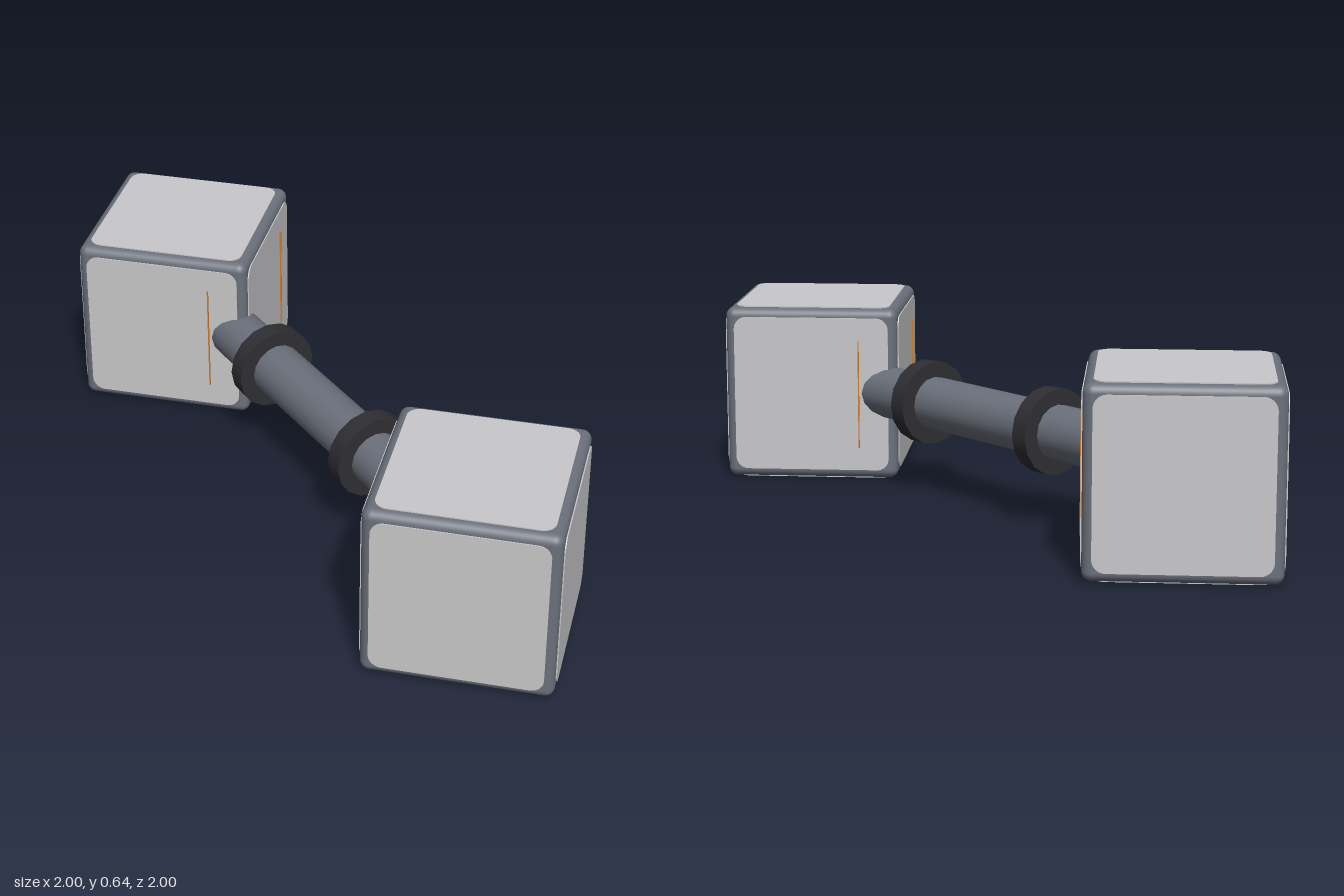
import * as THREE from 'three';
import { RoundedBoxGeometry } from 'three/addons/geometries/RoundedBoxGeometry.js';

const HALF = 0.32;   // cube half size, panels included
const OFFSET = 0.68; // cube centre from the middle, on x and z

function material(name, color) {
  const m = new THREE.MeshStandardMaterial({ color });
  m.name = name;
  return m;
}

function add(parent, name, geometry, mat, x = 0, y = 0, z = 0) {
  const mesh = new THREE.Mesh(geometry, mat);
  mesh.name = name;
  mesh.position.set(x, y, z);
  parent.add(mesh);
  return mesh;
}

// Rounded square plate, centred on x and y, lying from z = 0 to z = depth
function panelGeometry(size, radius, depth) {
  const h = size / 2, c = h - radius;
  const s = new THREE.Shape();
  s.absarc(c, c, radius, 0, Math.PI / 2);
  s.absarc(-c, c, radius, Math.PI / 2, Math.PI);
  s.absarc(-c, -c, radius, Math.PI, Math.PI * 1.5);
  s.absarc(c, -c, radius, Math.PI * 1.5, Math.PI * 2);
  return new THREE.ExtrudeGeometry(s, { depth, bevelEnabled: false, curveSegments: 5 });
}

export function createModel() {
  const model = new THREE.Group();
  model.name = 'linkedCubes';

  const frameMat = material('slate grey', 0x6b707b);
  const panelMat = material('light grey', 0xc9c9cb);
  const ringMat = material('charcoal', 0x2f2f33);
  const stripMat = material('orange', 0xd27a22);

  const frameGeo = new RoundedBoxGeometry(0.632, 0.632, 0.632, 4, 0.032);
  const panelGeo = panelGeometry(0.568, 0.045, 0.008);
  const stripGeo = new THREE.BoxGeometry(0.004, 0.4, 0.012);

  // The cube behind, then the same cube turned half round for the front
  for (const [name, turn] of [['backCube', 0], ['frontCube', Math.PI]]) {
    const half = new THREE.Group();
    half.name = name;
    half.rotation.y = turn;
    model.add(half);

    const cube = new THREE.Group();
    cube.name = 'cube';
    cube.position.set(-OFFSET, HALF, -OFFSET);
    half.add(cube);
    add(cube, 'frame', frameGeo, frameMat);

    // Six face panels
    const faces = [[0, 0], [0, 0.5], [0, 1], [0, 1.5], [0.5, 0], [-0.5, 0]];
    for (const [rx, ry] of faces) {
      const panel = add(cube, 'panel', panelGeo, panelMat);
      panel.rotation.set(rx * Math.PI, ry * Math.PI, 0);
      panel.translateZ(HALF - 0.008);
    }

    // Thin upright strips on the two inner faces
    add(cube, 'strip', stripGeo, stripMat, 0.175, 0, HALF);
    add(cube, 'strip', stripGeo, stripMat, HALF, 0, -0.17).rotation.y = Math.PI / 2;
  }

  // Diagonal bar with two collars, built along z and turned into place
  const link = new THREE.Group();
  link.name = 'link';
  link.position.y = 0.325;
  link.rotation.y = Math.PI / 4;
  model.add(link);

  const barGeo = new THREE.CylinderGeometry(0.095, 0.095, 1.6, 16).rotateX(Math.PI / 2);
  const ringGeo = new THREE.CylinderGeometry(0.15, 0.15, 0.066, 16).rotateX(Math.PI / 2);
  add(link, 'bar', barGeo, frameMat);
  for (const side of [-1, 1]) add(link, 'collar', ringGeo, ringMat, 0, 0, side * 0.329);

  return model;
}
